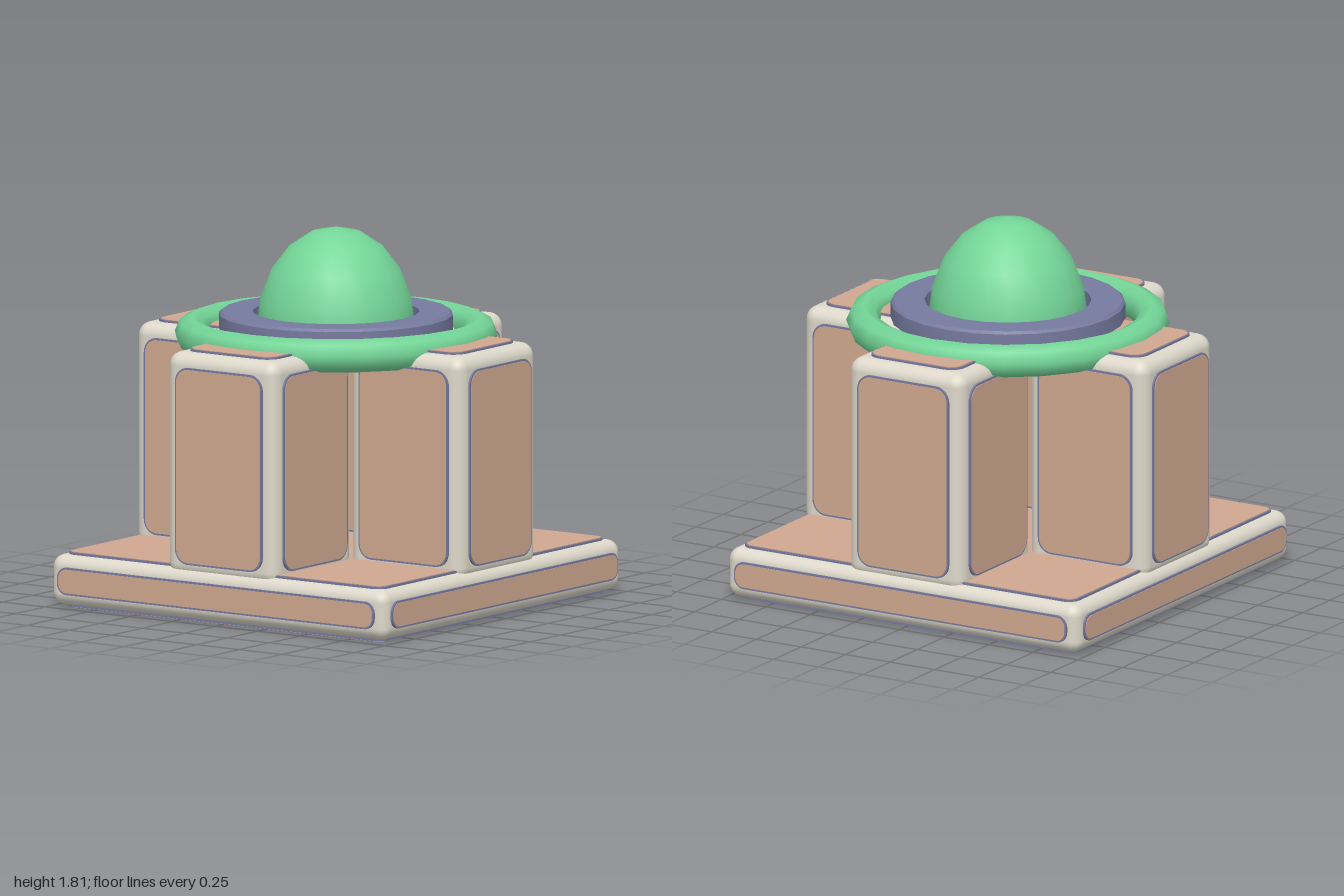
import * as THREE from 'three';
import { toCreasedNormals } from 'three/addons/utils/BufferGeometryUtils.js';
import { RoundedBoxGeometry } from 'three/addons/geometries/RoundedBoxGeometry.js';

const material = (name, color) => {
  const m = new THREE.MeshStandardMaterial({ color });
  m.name = name;
  return m;
};

const named = (object, name) => {
  object.name = name;
  return object;
};

// Rounded rectangular plate facing +z, its front at z = front
function plate(w, h, r, back, front) {
  const x = w / 2, y = h / 2, s = new THREE.Shape();
  s.absarc(x - r, y - r, r, 0, Math.PI / 2);
  s.absarc(-x + r, y - r, r, Math.PI / 2, Math.PI);
  s.absarc(-x + r, -y + r, r, Math.PI, Math.PI * 1.5);
  s.absarc(x - r, -y + r, r, Math.PI * 1.5, Math.PI * 2);
  s.closePath();
  const g = new THREE.ExtrudeGeometry(s, { depth: front - back, bevelEnabled: false, curveSegments: 6 });
  return g.translate(0, 0, back);
}

export function createModel() {
  const cream = material('cream shell', 0xddd8ca);
  const tan = material('tan panel', 0xcfa78f);
  const blue = material('slate blue trim', 0x767a9e);
  const green = material('green', 0x74d698);

  // Rounded box with a trimmed panel on each of its six faces
  function panelledBox(name, w, h, d, radius, inset, corner) {
    const group = named(new THREE.Group(), name);
    group.add(named(new THREE.Mesh(new RoundedBoxGeometry(w, h, d, 3, radius), cream), 'shell'));
    const q = Math.PI / 2;
    const faces = [
      [w, h, d, 0, 0], [w, h, d, 0, 2 * q],
      [d, h, w, 0, q], [d, h, w, 0, -q],
      [w, d, h, q, 0], [w, d, h, -q, 0],
    ];
    for (const [fw, fh, depth, rx, ry] of faces) {
      const pw = fw - 2 * inset, ph = fh - 2 * inset;
      const face = named(new THREE.Group(), 'facePanel');
      const trim = plate(pw + 0.018, ph + 0.018, corner + 0.009, depth / 2 - 0.005, depth / 2 + 0.01);
      const panel = plate(pw, ph, corner, depth / 2 + 0.006, depth / 2 + 0.013);
      face.add(named(new THREE.Mesh(trim, blue), 'trim'), named(new THREE.Mesh(panel, tan), 'panel'));
      face.rotation.set(rx, ry, 0);
      group.add(face);
    }
    return group;
  }

  const model = named(new THREE.Group(), 'domedTower');

  // Base slab
  const base = panelledBox('base', 1.974, 0.243, 1.974, 0.06, 0.064, 0.045);
  base.position.y = 0.1345;
  model.add(base);

  // Four posts in a cross
  for (let i = 0; i < 4; i++) {
    const arm = named(new THREE.Group(), 'postArm');
    const post = panelledBox('post', 0.645, 1.09, 0.66, 0.065, 0.076, 0.065);
    post.position.set(0, 0.755, 0.632);
    arm.add(post);
    arm.rotation.y = i * Math.PI / 2;
    model.add(arm);
  }

  // Green outer ring
  const outer = new THREE.TorusGeometry(0.695, 0.081, 8, 24).rotateX(Math.PI / 2);
  outer.translate(0, 1.294, 0);
  model.add(named(new THREE.Mesh(outer, green), 'outerRing'));

  // Flat collar around the dome
  const collarProfile = [[0.4, 1.31], [0.563, 1.31], [0.563, 1.387], [0.55, 1.4], [0.4, 1.4], [0.4, 1.31]]
    .map(([x, y]) => new THREE.Vector2(x, y));
  const collar = toCreasedNormals(new THREE.LatheGeometry(collarProfile, 24), 0.5);
  model.add(named(new THREE.Mesh(collar, blue), 'collar'));

  // Tall dome, closed underneath
  const domeProfile = [new THREE.Vector2(0, 1.3), new THREE.Vector2(0.38, 1.3)];
  for (let i = 0; i <= 5; i++) {
    const a = i * Math.PI / 10;
    domeProfile.push(new THREE.Vector2(i === 5 ? 0 : 0.383 * Math.cos(a), 1.31 + 0.5 * Math.sin(a)));
  }
  const dome = toCreasedNormals(new THREE.LatheGeometry(domeProfile, 24), 0.8);
  model.add(named(new THREE.Mesh(dome, green), 'dome'));

  return model;
}
